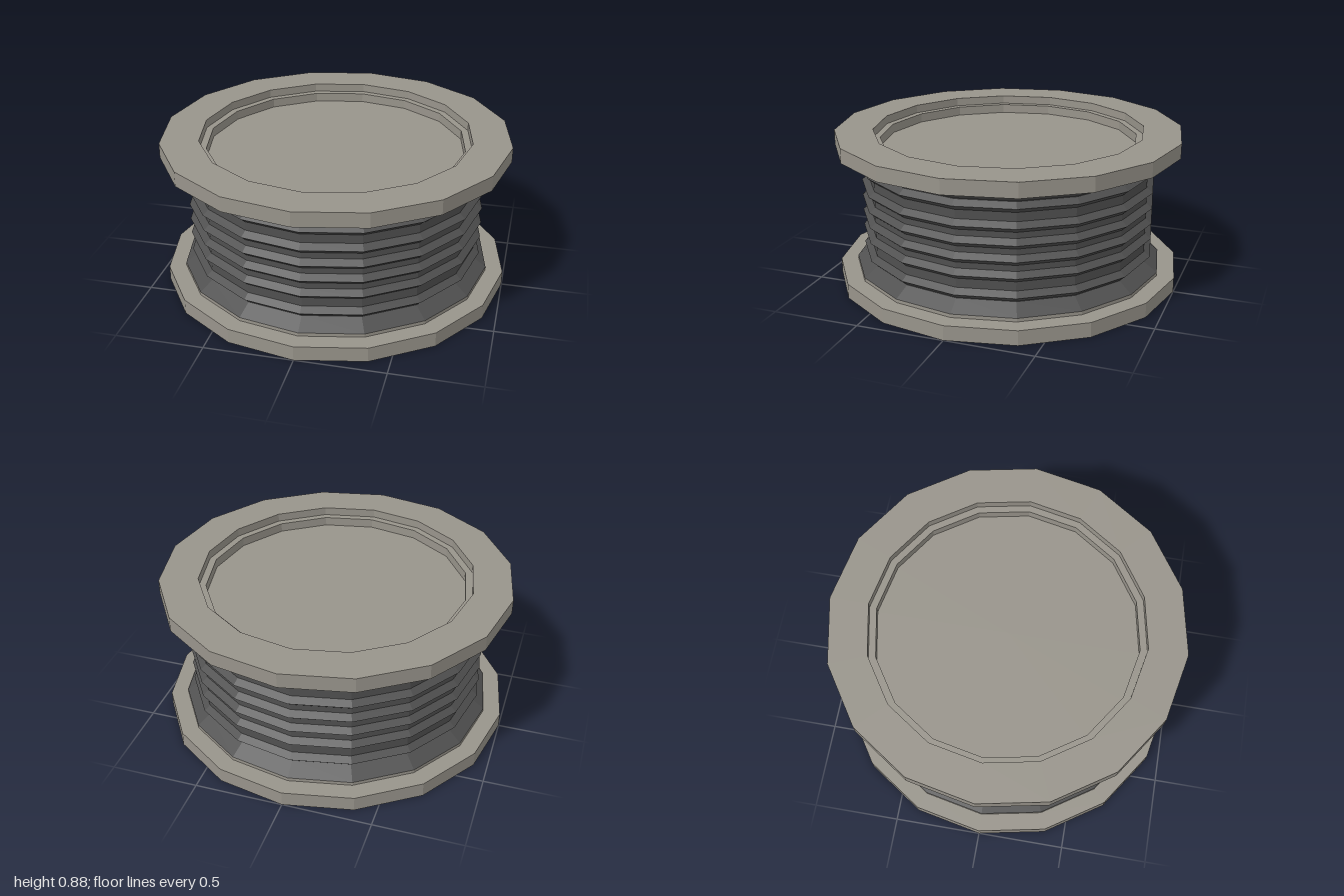
import * as THREE from 'three';

const SIDES = 16;
const HEIGHT = 0.88;

// Faceted solid of revolution; profile runs from the bottom axis outward and up
function lathe(name, profile, material) {
  const points = profile.map(([r, y]) => new THREE.Vector2(r, y));
  const geometry = new THREE.LatheGeometry(points, SIDES).toNonIndexed();
  geometry.computeVertexNormals();
  const mesh = new THREE.Mesh(geometry, material);
  mesh.name = name;
  return mesh;
}

export function createModel() {
  const warmGrey = new THREE.MeshStandardMaterial({ color: 0x98948b });
  warmGrey.name = 'warmGrey';
  const darkRubber = new THREE.MeshStandardMaterial({ color: 0x505050 });
  darkRubber.name = 'darkRubber';

  const model = new THREE.Group();
  model.name = 'bellowsCoupling';

  // End flange: stepped recess, wide rim and a narrow collar
  const flangeProfile = [
    [0, 0.1], [0.74, 0.1], [0.74, 0.048], [0.78, 0.048], [0.78, 0],
    [1, 0], [1, 0.085], [0.9, 0.085], [0.9, 0.105],
  ];
  const bottomFlange = lathe('bottomFlange', flangeProfile, warmGrey);
  const topFlange = lathe('topFlange', flangeProfile, warmGrey);
  topFlange.rotation.x = Math.PI;
  topFlange.position.y = HEIGHT;

  // Ribbed sleeve: flared ends with six pointed ridges
  const sleeve = [[0.9, 0.105], [0.82, 0.163]];
  for (const y of [0.195, 0.305, 0.397, 0.488, 0.58, 0.688]) {
    sleeve.push([0.82, y - 0.029], [0.855, y], [0.82, y + 0.029]);
  }
  sleeve.push([0.82, 0.72], [0.9, 0.775]);

  model.add(bottomFlange, topFlange, lathe('ribbedSleeve', sleeve, darkRubber));
  return model;
}
